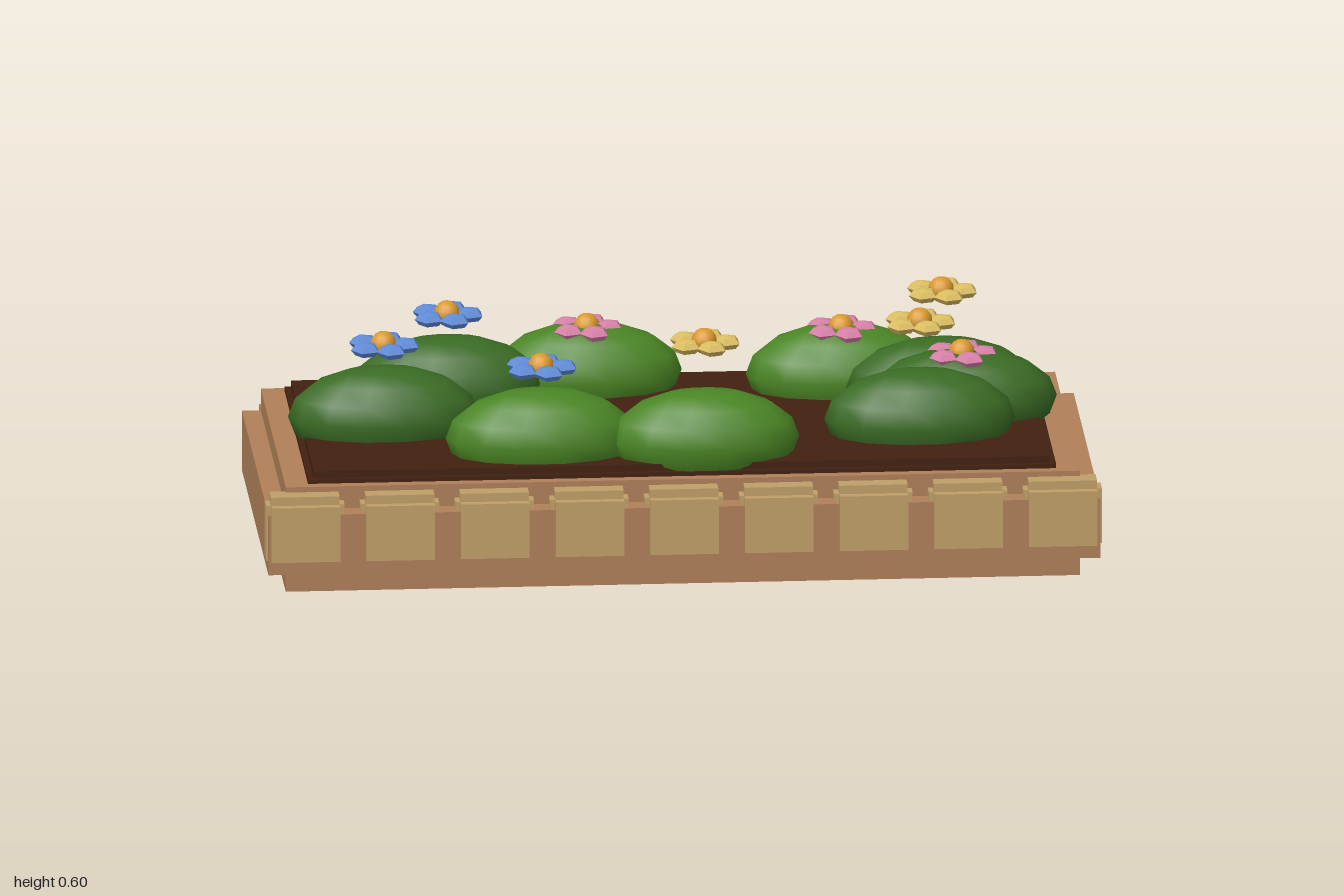
import * as THREE from 'three';

const mat = (name, color) => {
  const m = new THREE.MeshStandardMaterial({ color });
  m.name = name;
  return m;
};

export function createModel() {
  const root = new THREE.Group();
  root.name = 'flowerPlanter';

  const wood = mat('wood', 0xb08059);
  const tan = mat('tan block', 0xbf9f68);
  const soil = mat('soil', 0x42200f);
  const lightGreen = mat('light green', 0x4a8524);
  const darkGreen = mat('dark green', 0x3a6b24);
  const gold = mat('gold', 0xdb9a30);
  const petalColors = {
    blue: mat('blue petal', 0x5f8cd8),
    pink: mat('pink petal', 0xd880a8),
    yellow: mat('yellow petal', 0xdcbe62),
  };

  // Box given by its min and max on each axis
  const box = (name, material, [x0, x1], [y0, y1], [z0, z1], parent = root) => {
    const mesh = new THREE.Mesh(new THREE.BoxGeometry(x1 - x0, y1 - y0, z1 - z0), material);
    mesh.position.set((x0 + x1) / 2, (y0 + y1) / 2, (z0 + z1) / 2);
    mesh.name = name;
    parent.add(mesh);
  };

  // Planter body with a band of boards around it
  box('planterBody', wood, [-0.95, 0.95], [0, 0.26], [-0.412, 0.405]);
  box('backBoard', wood, [-0.95, 0.95], [0.057, 0.205], [-0.465, -0.41]);
  box('frontBoard', wood, [-0.95, 0.95], [0.057, 0.205], [0.4, 0.455]);
  for (const s of [-1, 1]) {
    const xs = s < 0 ? [-0.995, -0.945] : [0.945, 0.995];
    box('sideBoard', wood, xs, [0.057, 0.205], [-0.415, 0.455]);
  }

  // Soil in two steps
  box('soilEdge', soil, [-0.895, 0.895], [0.255, 0.27], [-0.392, 0.38]);
  box('soilTop', soil, [-0.88, 0.88], [0.265, 0.287], [-0.384, 0.368]);

  // Row of stepped blocks along the front
  for (let i = 0; i < 9; i++) {
    const x = (i - 4) * 0.2265;
    const block = new THREE.Group();
    block.name = 'frontBlock';
    const span = (h) => [x - h, x + h];
    box('blockFace', tan, span(0.082), [0.09, 0.226], [0.39, 0.465], block);
    box('blockCore', tan, span(0.082), [0.068, 0.247], [0.393, 0.445], block);
    box('blockSides', tan, span(0.094), [0.09, 0.226], [0.395, 0.444], block);
    box('blockLip', tan, span(0.082), [0.205, 0.226], [0.375, 0.4], block);
    root.add(block);
  }

  // Shared plant shapes
  const bushGeo = new THREE.SphereGeometry(1, 14, 8).scale(0.228, 0.12, 0.116);
  const petalGeo = new THREE.SphereGeometry(0.036, 5, 4).scale(1, 0.5, 1).toNonIndexed();
  petalGeo.computeVertexNormals();
  const heartGeo = new THREE.SphereGeometry(0.031, 12, 8);

  const heights = { pink: 0.432, blue: 0.496, yellow: 0.56 };
  const plants = [
    [-0.52, -0.205, 'blue', darkGreen],
    [-0.18, -0.288, 'pink', lightGreen],
    [0.425, -0.236, 'pink', lightGreen],
    [0.655, -0.105, 'yellow', darkGreen],
    [0.697, -0.01, 'pink', darkGreen],
    [0.585, 0.147, 'yellow', darkGreen],
    [0.06, 0.277, 'yellow', lightGreen],
    [-0.328, 0.243, 'blue', lightGreen],
    [-0.69, 0.036, 'blue', darkGreen],
  ];

  for (const [x, z, color, green] of plants) {
    const bush = new THREE.Mesh(bushGeo, green);
    bush.name = 'bush';
    bush.position.set(x, 0.325, z);
    root.add(bush);

    // Five faceted petals around a golden heart
    const flower = new THREE.Group();
    flower.name = color + 'Flower';
    flower.position.set(x, heights[color], z);
    for (let k = 0; k < 5; k++) {
      const a = (k / 5) * Math.PI * 2;
      const petal = new THREE.Mesh(petalGeo, petalColors[color]);
      petal.name = 'petal';
      petal.position.set(Math.cos(a) * 0.054, 0, Math.sin(a) * 0.054);
      flower.add(petal);
    }
    const heart = new THREE.Mesh(heartGeo, gold);
    heart.name = 'flowerHeart';
    heart.position.y = 0.005;
    flower.add(heart);
    root.add(flower);
  }
  return root;
}
